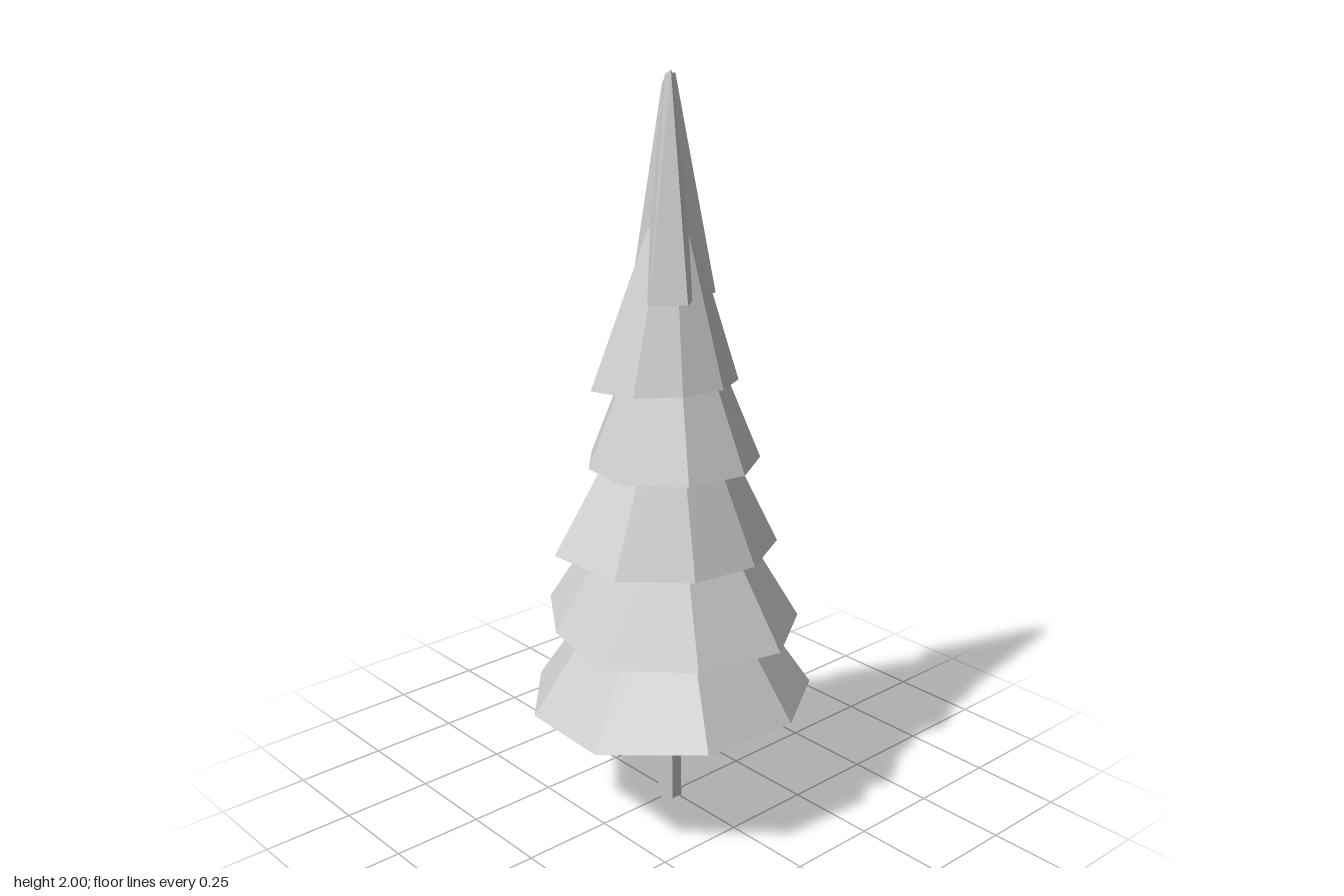
import * as THREE from 'three';

const SIDES = 9;

// Rim height, sideways tilt and turn (degrees) of each tier, with its rim radii starting at the back
const TIERS = [
  { y: 0.33, tilt: 0.04, turn: -1, radii: [0.4, 0.38, 0.39, 0.41, 0.43, 0.4, 0.39, 0.39, 0.37] },
  { y: 0.55, tilt: -0.01, turn: 1, radii: [0.33, 0.34, 0.36, 0.35, 0.38, 0.33, 0.36, 0.34, 0.34] },
  { y: 0.77, tilt: -0.03, turn: 0, radii: [0.29, 0.28, 0.27, 0.28, 0.31, 0.33, 0.27, 0.3, 0.28] },
  { y: 1.0, tilt: 0.03, turn: 2, radii: [0.23, 0.23, 0.24, 0.24, 0.25, 0.23, 0.23, 0.22, 0.25] },
  { y: 1.21, tilt: 0.06, turn: 3, radii: [0.18, 0.17, 0.17, 0.17, 0.19, 0.22, 0.18, 0.16, 0.17] },
];

// Nine-sided frustum whose rim and top follow the given radii
function tierGeometry({ y, tilt, turn, radii, height = 0.4, taper = 0.3, topTilt = 0, topZ = 0 }) {
  const geo = new THREE.CylinderGeometry(taper, 1, 1, SIDES);
  const pos = geo.attributes.position;
  for (let i = 0; i < pos.count; i++) {
    const x = pos.getX(i), z = pos.getZ(i);
    const top = pos.getY(i) > 0;
    // Side number, counted clockwise from the back as seen from above
    const step = (Math.round((Math.atan2(x, -z) / (2 * Math.PI)) * SIDES - 0.5) + SIDES) % SIDES;
    const angle = (step / SIDES) * 2 * Math.PI + THREE.MathUtils.degToRad(turn);
    const r = Math.hypot(x, z) * radii[step];
    const px = r * Math.sin(angle);
    pos.setXYZ(i, px, y + (top ? height + topTilt * px : tilt * px), -r * Math.cos(angle) + (top ? topZ : 0));
  }
  geo.computeVertexNormals();
  return geo;
}

export function createModel() {
  const group = new THREE.Group();
  group.name = 'tree';
  const paleGrey = new THREE.MeshStandardMaterial({ color: 0xcccccc, flatShading: true });
  paleGrey.name = 'paleGrey';
  const add = (name, geometry) => {
    const mesh = new THREE.Mesh(geometry, paleGrey);
    mesh.name = name;
    group.add(mesh);
  };

  // Slim six-sided trunk
  add('trunk', new THREE.CylinderGeometry(0.029, 0.034, 0.5, 6).translate(0, 0.25, 0.01));

  // Stacked foliage tiers
  TIERS.forEach((tier, i) => add(`foliageTier${i + 1}`, tierGeometry(tier)));

  // Tall, lobed treetop with a ragged tip
  add('treetop', tierGeometry({
    y: 1.44, tilt: 0.03, turn: -4, height: 0.54, taper: 0.15, topTilt: 1, topZ: 0.013,
    radii: [0.11, 0.11, 0.07, 0.14, 0.14, 0.08, 0.11, 0.145, 0.08],
  }));
  return group;
}
